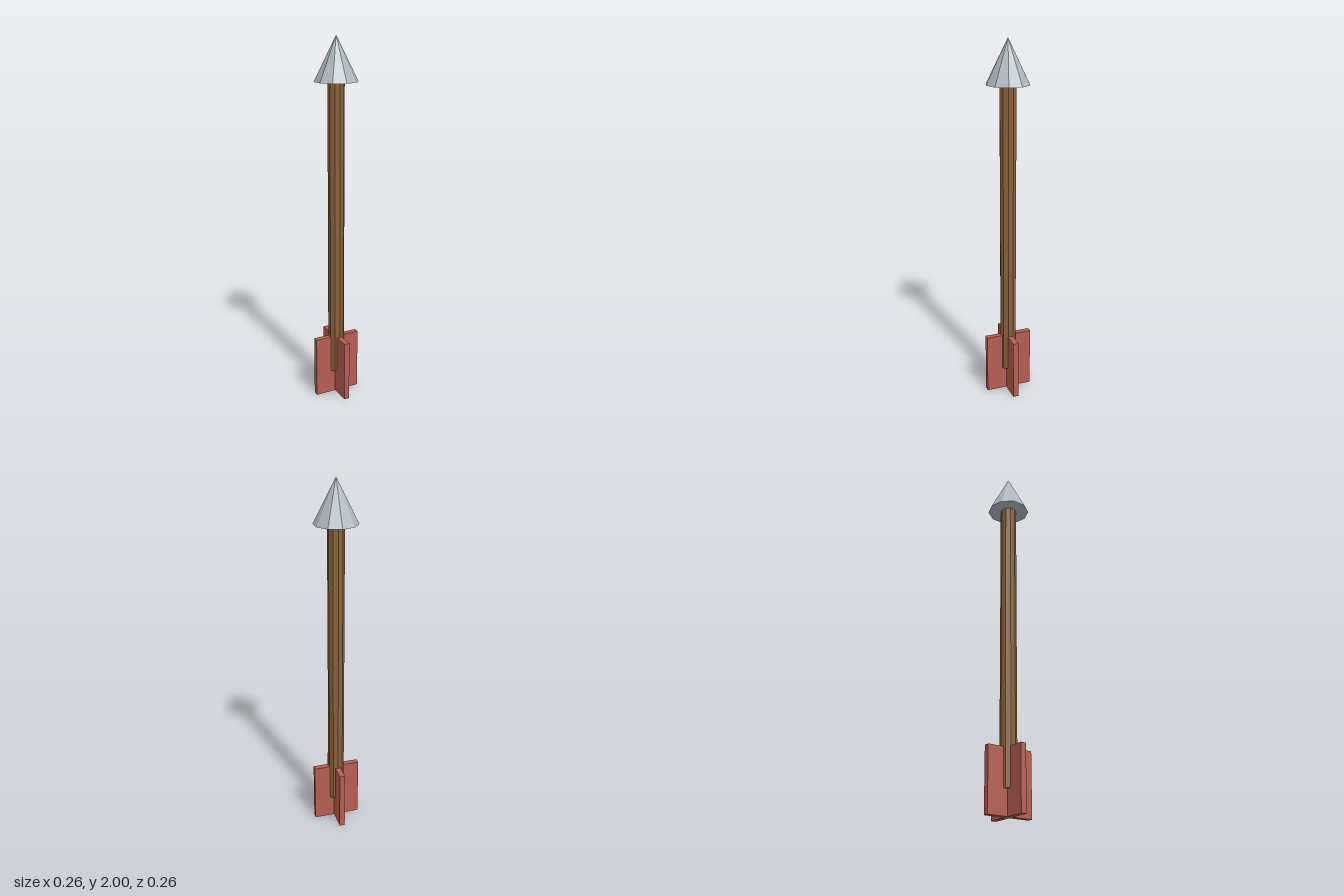
import * as THREE from 'three';

const SIDES = 10;

function material(name, color) {
  const m = new THREE.MeshStandardMaterial({ color, flatShading: true });
  m.name = name;
  return m;
}

export function createModel() {
  const arrow = new THREE.Group();
  arrow.name = 'arrow';
  const wood = material('wood', 0x8b6138);
  const steel = material('steel', 0xb0babf);
  const red = material('fletching red', 0xb55e50);

  function add(name, geometry, mat, y) {
    const mesh = new THREE.Mesh(geometry, mat);
    mesh.name = name;
    mesh.position.y = y;
    arrow.add(mesh);
    return mesh;
  }

  // Faceted shaft and pointed head
  const shaftBottom = 0.135, headBottom = 1.768, top = 2;
  add('shaft', new THREE.CylinderGeometry(0.045, 0.045, headBottom - shaftBottom, SIDES),
    wood, (shaftBottom + headBottom) / 2);
  add('head', new THREE.ConeGeometry(0.117, top - headBottom, SIDES),
    steel, (headBottom + top) / 2);

  // Two crossed fletching boards
  const finHeight = 0.344;
  const finGeometry = new THREE.BoxGeometry(0.262, finHeight, 0.031);
  ['fletchingSide', 'fletchingFront'].forEach((name, i) => {
    add(name, finGeometry, red, finHeight / 2).rotation.y = i * Math.PI / 2;
  });

  return arrow;
}
